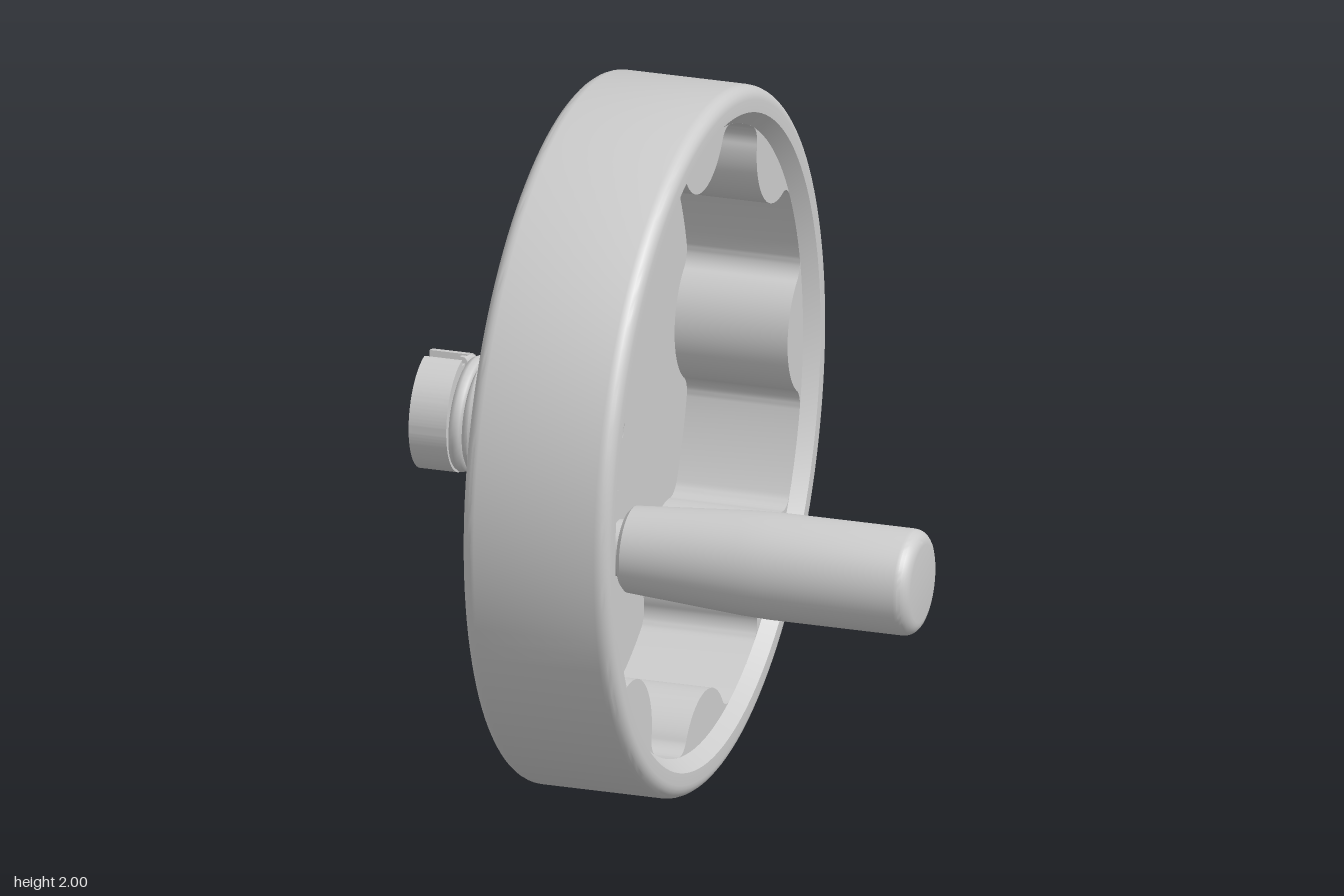
import * as THREE from 'three';
import { toCreasedNormals } from 'three/addons/utils/BufferGeometryUtils.js';

const material = new THREE.MeshStandardMaterial({ color: 0xcccccc });
const rad = THREE.MathUtils.degToRad;

function addMesh(parent, name, geometry, crease = 0.5) {
  const mesh = new THREE.Mesh(toCreasedNormals(geometry, crease), material);
  mesh.name = name;
  parent.add(mesh);
  return mesh;
}

// Revolve [radius, x] pairs about the x axis (counter-clockwise profile)
function latheX(profile, segments = 96) {
  const points = profile.map(([r, x]) => new THREE.Vector2(r, x));
  return new THREE.LatheGeometry(points, segments).rotateZ(-Math.PI / 2);
}

// Extrude a shape along x; shape x becomes -z
function extrudeX(shape, x0, x1) {
  return new THREE.ExtrudeGeometry(shape, { depth: x1 - x0, bevelEnabled: false, curveSegments: 48 })
    .rotateY(Math.PI / 2).translate(x0, 0, 0);
}

// Quarter round as [radius, x] pairs
function round(r, x, size, from, to) {
  return Array.from({ length: 7 }, (_, i) => {
    const a = rad(from + (to - from) * i / 6);
    return [r + size * Math.cos(a), x + size * Math.sin(a)];
  });
}

function circleShape(radius, hole) {
  const shape = new THREE.Shape().absarc(0, 0, radius, 0, Math.PI * 2);
  if (hole) shape.holes.push(new THREE.Path().absarc(0, 0, hole, 0, Math.PI * 2, true));
  return shape;
}

// Scalloped cavity: eight finger bumps, one squared off and slotted for the handle
function cavityPoints() {
  const points = [];
  for (let k = 0; k < 8; k++) {
    const turn = k * Math.PI / 4;
    const put = (x, y) => points.push(new THREE.Vector2(x, y).rotateAround(new THREE.Vector2(), turn));
    const arc = (cx, cy, r, from, to, n) => {
      for (let i = 0; i <= n; i++) {
        const a = rad(from + (to - from) * i / n);
        put(cx + r * Math.cos(a), cy + r * Math.sin(a));
      }
    };
    arc(0.802, -0.213, 0.06, -14.9, 55.2, 8);
    if (k === 4) {
      [[0.745, -0.13], [0.745, -0.035], [0.92, -0.035], [0.92, 0.035], [0.745, 0.035], [0.745, 0.13]]
        .forEach(([x, y]) => put(x, y));
    } else {
      arc(0.95, 0, 0.2, 234, 126, 18);
    }
    arc(0.802, 0.213, 0.06, -55.2, 14.9, 8);
    arc(0, 0, 0.89, 18, 27, 3);
  }
  return points;
}

function buildWheel() {
  const wheel = new THREE.Group();
  wheel.name = 'wheel';
  addMesh(wheel, 'rimAndFloor', latheX([
    [0.08, -0.44],
    ...round(0.96, -0.4, 0.04, -90, 0),
    ...round(0.96, -0.05, 0.04, 0, 90),
    [0.925, -0.01], [0.89, -0.05], [0.94, -0.05], [0.94, -0.38],
    [0.22, -0.38], [0.17, -0.42], [0.08, -0.42],
  ], 128));
  const grip = circleShape(0.95);
  grip.holes.push(new THREE.Path(cavityPoints().reverse()));
  addMesh(wheel, 'scallopedGrip', extrudeX(grip, -0.38, -0.05));
  return wheel;
}

function buildHub() {
  const hub = new THREE.Group();
  hub.name = 'hub';

  // Nut and hollow bolt at the middle of the cavity
  const nut = new THREE.Shape(Array.from({ length: 6 }, (_, i) => {
    const a = i * Math.PI / 3 + 0.08;
    return new THREE.Vector2(0.155 * Math.cos(a), 0.155 * Math.sin(a));
  }));
  nut.holes.push(new THREE.Path().absarc(0, 0, 0.07, 0, Math.PI * 2, true));
  addMesh(hub, 'nut', extrudeX(nut, -0.43, -0.34));
  addMesh(hub, 'hollowBolt', latheX([
    [0.05, -0.78], [0.1, -0.78], [0.1, -0.5], [0.085, -0.5], [0.085, -0.32], [0.07, -0.3], [0.05, -0.3], [0.05, -0.78],
  ], 48));

  // Flange with two flats
  const half = Math.asin(0.315 / 0.44);
  const flange = new THREE.Shape();
  flange.absarc(0, 0, 0.44, Math.PI / 2 - half, Math.PI / 2 + half);
  flange.absarc(0, 0, 0.44, -Math.PI / 2 - half, -Math.PI / 2 + half);
  flange.closePath();
  flange.holes.push(new THREE.Path().absarc(0, 0, 0.09, 0, Math.PI * 2, true));
  addMesh(hub, 'flange', extrudeX(flange, -0.53, -0.44));

  addMesh(hub, 'collar', latheX([
    [0.09, -0.58], [0.19, -0.58], [0.19, -0.66], [0.26, -0.66], [0.26, -0.53],
  ]));

  // Coil behind the collar
  const coil = Array.from({ length: 73 }, (_, i) => {
    const a = i / 72 * Math.PI * 8;
    return new THREE.Vector3(-0.6 - 0.16 * i / 72, 0.145 * Math.cos(a), 0.145 * Math.sin(a));
  });
  addMesh(hub, 'coil', new THREE.TubeGeometry(new THREE.CatmullRomCurve3(coil), 192, 0.021, 8), 1);

  // Split sleeve at the end
  for (const side of [0, Math.PI]) {
    const a0 = side - rad(82), a1 = side + rad(82);
    const jaw = new THREE.Shape();
    jaw.absarc(0, 0, 0.167, a0, a1);
    jaw.absarc(0, 0, 0.115, a1, a0, true);
    jaw.closePath();
    addMesh(hub, 'sleeveHalf', extrudeX(jaw, -0.86, -0.75));
  }
  addMesh(hub, 'sleeveBase', extrudeX(circleShape(0.14, 0.05), -0.78, -0.755));
  return hub;
}

function buildHandle() {
  const handle = new THREE.Group();
  handle.name = 'handle';
  handle.position.z = 0.84;
  addMesh(handle, 'handGrip', latheX([
    [0, 0], [0.11, 0], [0.122, 0.012], [0.136, 0.2], [0.147, 0.35], [0.15, 0.43],
    ...round(0.11, 0.82, 0.04, 0, 90), [0, 0.86],
  ], 64));
  addMesh(handle, 'neck', latheX([[0, -0.03], [0.08, -0.03], [0.08, 0.01], [0, 0.01]], 48));
  addMesh(handle, 'tongue', new THREE.BoxGeometry(0.2, 0.06, 0.13).translate(-0.11, 0, 0));
  addMesh(handle, 'slotFloor', new THREE.BoxGeometry(0.18, 0.07, 0.18).translate(-0.29, 0, -0.005));
  addMesh(handle, 'pinEnd', latheX([[0, -0.444], [0.04, -0.444], [0.04, -0.42]], 32));
  return handle;
}

export function createModel() {
  const model = new THREE.Group();
  model.name = 'handwheel';
  const body = new THREE.Group();
  body.name = 'body';
  body.position.y = 1;
  body.add(buildWheel(), buildHub(), buildHandle());
  model.add(body);
  return model;
}
